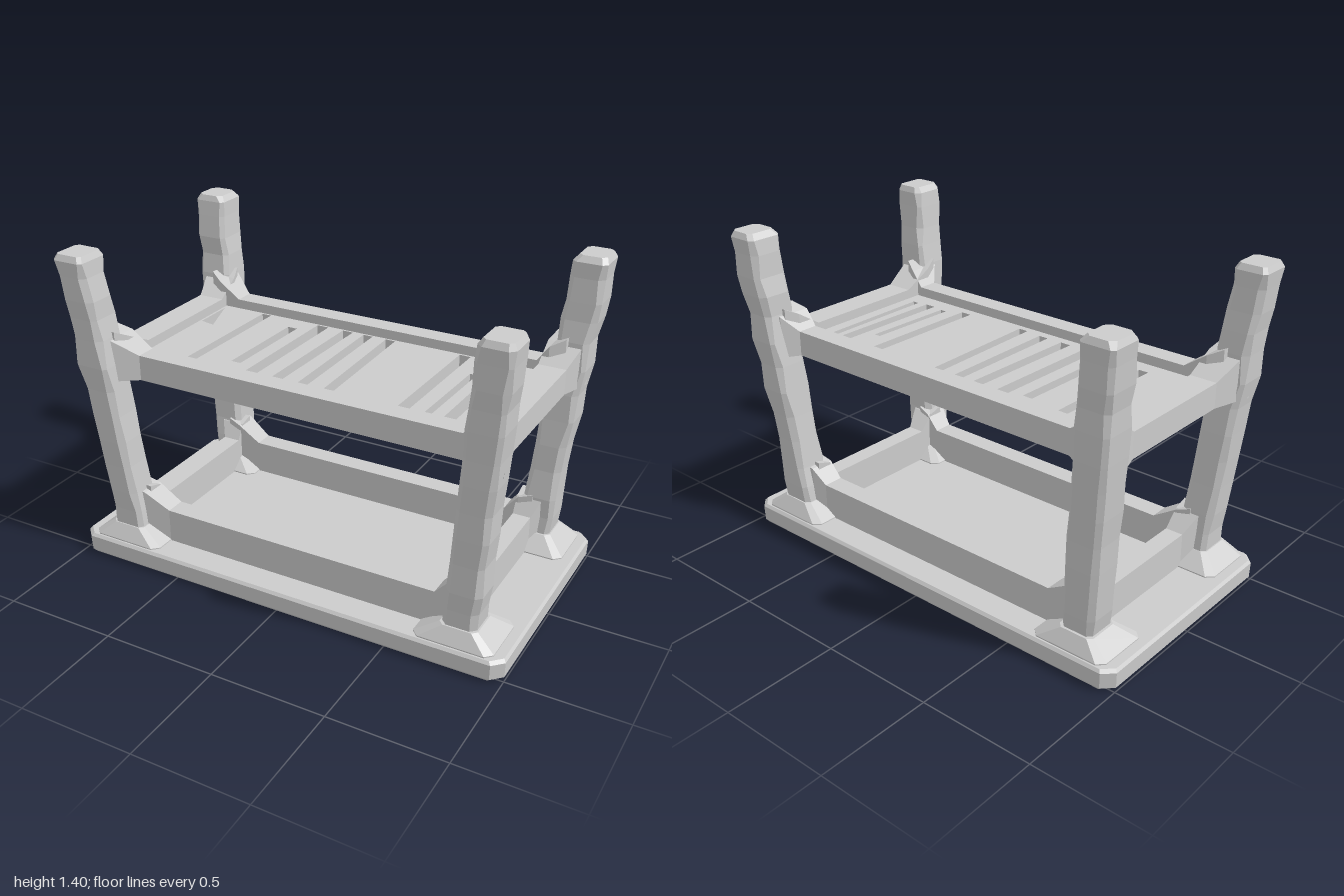
import * as THREE from 'three';

const material = new THREE.MeshStandardMaterial({ color: 0xcccccc, flatShading: true, side: THREE.DoubleSide });

let seed = 7;
const jitter = (a) => {
  seed = (seed * 16807) % 2147483647;
  return (seed / 2147483647 - 0.5) * 2 * a;
};

// Closed skin over rings of equal point count, turned outward by its signed volume
function loft(name, rings) {
  const n = rings[0].length, tris = [];
  for (let r = 0; r < rings.length - 1; r++) {
    for (let i = 0; i < n; i++) {
      const j = (i + 1) % n;
      const [a, b, c, d] = [rings[r][i], rings[r][j], rings[r + 1][j], rings[r + 1][i]];
      tris.push([a, c, b], [a, d, c]);
    }
  }
  const first = rings[0], last = rings[rings.length - 1];
  for (let i = 1; i < n - 1; i++) {
    tris.push([first[0], first[i], first[i + 1]], [last[0], last[i + 1], last[i]]);
  }
  const o = new THREE.Vector3(...first[0]);
  let volume = 0;
  for (const t of tris) {
    const [a, b, c] = t.map((p) => new THREE.Vector3(...p).sub(o));
    volume += a.dot(b.cross(c));
  }
  if (volume < 0) tris.forEach((t) => t.reverse());
  const geometry = new THREE.BufferGeometry();
  geometry.setAttribute('position', new THREE.Float32BufferAttribute(tris.flat(2), 3));
  geometry.computeVertexNormals();
  const mesh = new THREE.Mesh(geometry, material);
  mesh.name = name;
  return mesh;
}

// Horizontal rectangle with cut corners
const section = (y, x0, x1, z0, z1, c) => [
  [x0 + c, y, z0], [x1 - c, y, z0], [x1, y, z0 + c], [x1, y, z1 - c],
  [x1 - c, y, z1], [x0 + c, y, z1], [x0, y, z1 - c], [x0, y, z0 + c],
];

// Rail from stations [along, inner, outer, bottom, top]; alongX picks its direction
function rail(name, side, alongX, stations) {
  return loft(name, stations.map(([t, i, o, b, h]) =>
    [[i, b], [o, b], [o, h], [i, h]].map(([d, y]) => (alongX ? [t, y, side * d] : [side * d, y, t]))));
}

// Chunky hewn leg that splays outward as it rises, with a soft end
function leg(sx, sz) {
  const levels = [0.12, 0.24, 0.33, 0.46, 0.58, 0.7, 0.82, 0.93, 1.05, 1.14, 1.22, 1.32, 1.385, 1.41];
  const rings = levels.map((y, k) => {
    const t = (y - 0.16) / 1.25;
    const end = k === levels.length - 1 ? 0.014 : 0;
    const w = k > 10 ? 0 : jitter(0.007);
    const x1 = 0.862 + 0.12 * t - end + w, x0 = 0.715 + 0.122 * t + end + jitter(0.005);
    const z1 = 0.475 + 0.1 * t - end + w, z0 = 0.325 + 0.092 * t + end + jitter(0.005);
    return section(y, x0, x1, z0, z1, 0.02 + jitter(0.006)).map(([x, h, z]) => [sx * x, h, sz * z]);
  });
  return loft('leg', rings);
}

// Sloped foot block where a leg meets the top board
function footBlock(sx, sz) {
  return loft('footBlock', [
    section(0.09, 0.61, 0.95, 0.25, 0.52, 0.03),
    section(0.105, 0.61, 0.95, 0.25, 0.52, 0.03),
    section(0.165, 0.71, 0.87, 0.32, 0.483, 0.02),
  ].map((ring) => ring.map(([x, y, z]) => [sx * x, y, sz * z])));
}

// Shelf panel with slots cut through
function shelfPanel() {
  const shape = new THREE.Shape([[-0.8, -0.36], [0.8, -0.36], [0.8, 0.36], [-0.8, 0.36]]
    .map((p) => new THREE.Vector2(...p)));
  const cut = (points) => shape.holes.push(new THREE.Path(points.map((p) => new THREE.Vector2(...p))));
  // [centre x, width, near z, far z]
  const slots = [
    [-0.55, 0.045, -0.32, 0.26], [-0.365, 0.045, -0.24, 0.2], [-0.255, 0.055, -0.32, 0.28],
    [-0.13, 0.05, -0.32, 0.29], [-0.02, 0.045, -0.32, 0.29], [0.095, 0.045, -0.32, 0.3],
    [0.435, 0.05, -0.32, 0.29], [0.54, 0.03, -0.16, 0.25], [0.63, 0.05, -0.32, 0.26],
    [0.705, 0.03, -0.3, 0.25],
  ];
  for (const [x, w, z0, z1] of slots) {
    const s = jitter(0.008), h = w / 2;
    cut([[x - h - s, z0], [x + h - s, z0], [x + h + s, z1], [x - h + s, z1]]);
  }
  cut([[-0.76, -0.3], [-0.69, -0.1], [-0.76, -0.115]]);
  const geometry = new THREE.ExtrudeGeometry(shape, { depth: 0.065, bevelEnabled: false });
  geometry.rotateX(Math.PI / 2);
  const mesh = new THREE.Mesh(geometry, material);
  mesh.name = 'slottedShelf';
  mesh.position.y = 0.928;
  return mesh;
}

export function createModel() {
  const table = new THREE.Group();
  table.name = 'upturnedTable';

  // Top board lying on the ground
  table.add(loft('topBoard', [
    section(0.005, -0.985, 0.985, -0.523, 0.523, 0.045),
    section(0.02, -0.998, 0.998, -0.535, 0.535, 0.045),
    section(0.088, -1, 1, -0.537, 0.537, 0.045),
    section(0.1, -0.99, 0.99, -0.527, 0.527, 0.045),
  ]));

  for (const sx of [-1, 1]) for (const sz of [-1, 1]) table.add(leg(sx, sz), footBlock(sx, sz));

  for (const s of [-1, 1]) {
    // Apron walls, flaring up into the legs
    table.add(rail('longApron', s, true, [
      [-0.78, 0.33, 0.44, 0.09, 0.34], [-0.72, 0.32, 0.43, 0.09, 0.32], [-0.61, 0.32, 0.41, 0.09, 0.25],
      [0.66, 0.32, 0.41, 0.09, 0.25], [0.72, 0.32, 0.43, 0.09, 0.32], [0.78, 0.33, 0.44, 0.09, 0.34],
    ]));
    table.add(rail('shortApron', s, false, [
      [-0.4, 0.71, 0.83, 0.09, 0.34], [-0.335, 0.71, 0.82, 0.09, 0.32], [-0.295, 0.71, 0.79, 0.09, 0.25],
      [0.265, 0.71, 0.79, 0.09, 0.25], [0.335, 0.71, 0.82, 0.09, 0.32], [0.4, 0.71, 0.83, 0.09, 0.34],
    ]));
    // Shelf rails with thickened ends
    table.add(rail('longShelfRail', s, true, [
      [-0.86, 0.36, 0.5, 0.85, 1.07], [-0.8, 0.33, 0.48, 0.855, 1.04], [-0.7, 0.33, 0.42, 0.86, 0.97],
      [0.75, 0.33, 0.42, 0.86, 0.97], [0.8, 0.33, 0.48, 0.855, 1.04], [0.86, 0.36, 0.5, 0.85, 1.07],
    ]));
    table.add(rail('shortShelfRail', s, false, [
      [-0.46, 0.79, 0.93, 0.85, 1.07], [-0.4, 0.77, 0.92, 0.855, 1.04], [-0.295, 0.77, 0.89, 0.86, 0.97],
      [0.265, 0.77, 0.89, 0.86, 0.97], [0.4, 0.77, 0.92, 0.855, 1.04], [0.46, 0.79, 0.93, 0.85, 1.07],
    ]));
  }

  table.add(shelfPanel());
  return table;
}
